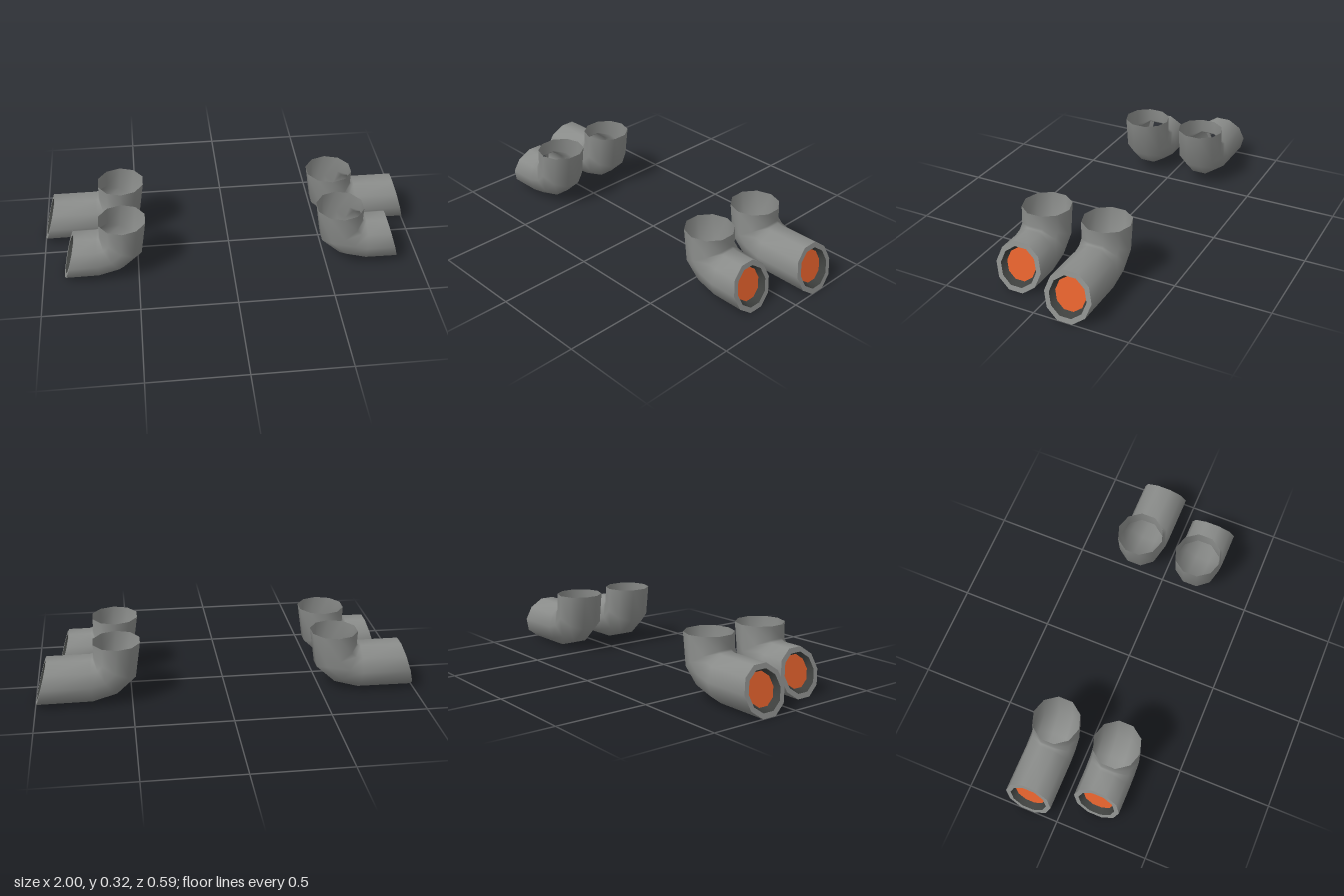
import * as THREE from 'three';

const SIDES = 10;
const R = 0.126;                                  // pipe radius
const APOTHEM = Math.sin((72 * Math.PI) / 180);   // decagon height factor

// Ten-sided ring between an inner and an outer bend point [x, y]
function ring(inner, outer, radius = R, dx = 0) {
  const mx = (inner[0] + outer[0]) / 2, my = (inner[1] + outer[1]) / 2;
  const k = radius / R;
  return Array.from({ length: SIDES }, (_, i) => {
    const a = (i / SIDES) * Math.PI * 2;
    const s = (Math.sin(a) / APOTHEM) * k;
    return [mx + dx + (inner[0] - mx) * s, my + (inner[1] - my) * s, radius * Math.cos(a)];
  });
}

// Surface joining successive rings
function loft(rings) {
  const index = [];
  for (let r = 0; r < rings.length - 1; r++) {
    for (let i = 0; i < SIDES; i++) {
      const j = (i + 1) % SIDES;
      const a = r * SIDES + i, b = a + SIDES, c = (r + 1) * SIDES + j, d = r * SIDES + j;
      index.push(a, b, c, a, c, d);
    }
  }
  const g = new THREE.BufferGeometry();
  g.setAttribute('position', new THREE.Float32BufferAttribute(rings.flat(2), 3));
  g.setIndex(index);
  g.computeVertexNormals();
  return g;
}

export function createModel() {
  const grey = new THREE.MeshStandardMaterial({ name: 'pipe grey', color: 0x8a8c8a, side: THREE.DoubleSide });
  const dark = new THREE.MeshStandardMaterial({ name: 'dark lining', color: 0x3e403e });
  const orange = new THREE.MeshStandardMaterial({ name: 'glowing orange', color: 0xe0602c });

  const model = new THREE.Group();
  model.name = 'exhaustPipes';

  function pipe(name, length) {
    const group = new THREE.Group();
    group.name = name;
    const add = (part, rings, material) => {
      const mesh = new THREE.Mesh(loft(rings), material);
      mesh.name = part;
      group.add(mesh);
    };
    // Slanted mouth
    const top = [length - 0.07, 0.24], bottom = [length, 0];
    const mouth = (radius, dx) => ring(top, bottom, radius, dx);

    // Open elbow running from the upright inlet to the mouth
    add('elbowPipe', [
      ring([0.69, 0.324], [0.45, 0.324]),
      ring([0.688, 0.253], [0.478, 0.132]),
      ring([0.695, 0.244], [0.578, 0.04]),
      ring([0.71, 0.24], [0.706, 0.002]),
      mouth(R, 0),
    ], grey);
    add('mouthRim', [mouth(R, 0), mouth(0.1, 0)], grey);
    add('mouthLining', [mouth(0.1, 0), mouth(0.083, -0.03)], dark);
    add('glowDisc', [mouth(0.083, -0.03), mouth(0, -0.03)], orange);
    return group;
  }

  // Long rear and short front pipe on each side; the right side is turned around
  for (const [row, z, length] of [['front', 0.168, 0.89], ['rear', -0.168, 1]]) {
    for (const side of ['Left', 'Right']) {
      const p = pipe(row + side + 'Pipe', length);
      p.position.z = z;
      if (side === 'Right') p.rotation.y = Math.PI;
      model.add(p);
    }
  }
  return model;
}
